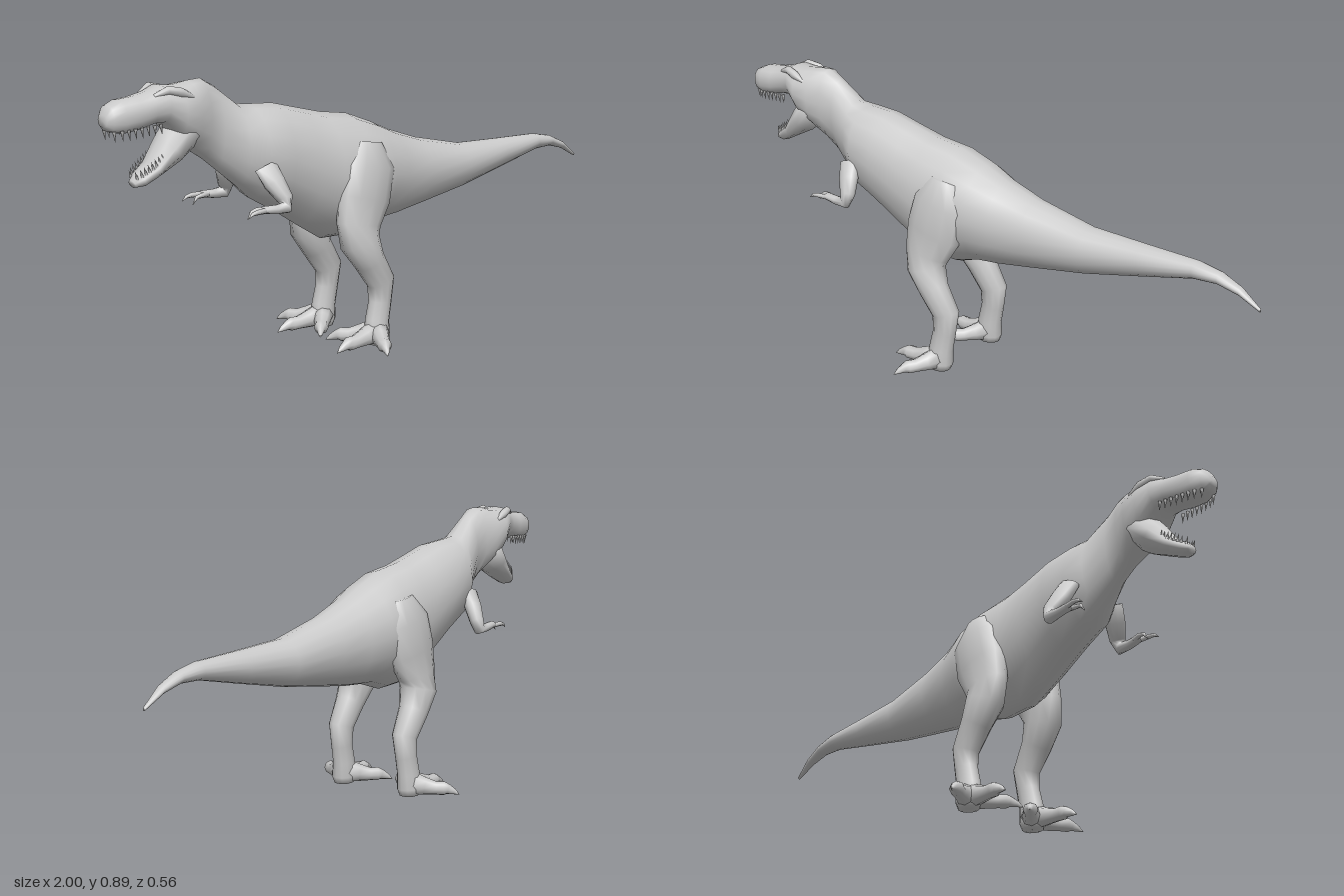
import * as THREE from 'three';

const material = new THREE.MeshStandardMaterial({ color: 0xcccccc });
const Z = new THREE.Vector3(0, 0, 1);
const Y = new THREE.Vector3(0, 1, 0);

// Skin a list of rings (arrays of Vector3, counter-clockwise about the travel direction)
function skin(name, rings) {
  const n = rings[0].length, pos = [], idx = [];
  rings.forEach(r => r.forEach(p => pos.push(p.x, p.y, p.z)));
  for (let i = 0; i < rings.length - 1; i++) {
    for (let j = 0; j < n; j++) {
      const k = (j + 1) % n, a = i * n, b = a + n;
      idx.push(a + j, a + k, b + j, a + k, b + k, b + j);
    }
  }
  // end caps
  [0, rings.length - 1].forEach(e => {
    const c = rings[e].reduce((s, p) => s.add(p), new THREE.Vector3()).divideScalar(n);
    const m = pos.length / 3;
    pos.push(c.x, c.y, c.z);
    for (let j = 0; j < n; j++) {
      const a = e * n + j, b = e * n + (j + 1) % n;
      if (e === 0) idx.push(m, b, a); else idx.push(m, a, b);
    }
  });
  const g = new THREE.BufferGeometry();
  g.setAttribute('position', new THREE.Float32BufferAttribute(pos, 3));
  g.setIndex(idx);
  g.computeVertexNormals();
  const mesh = new THREE.Mesh(g, material);
  mesh.name = name;
  return mesh;
}

// Limb along a path; rows are [x, y, z, radius in plane, radius along ref]
function limb(name, rows, side = 1, ref = Z, sides = 10) {
  const c = rows.map(r => new THREE.Vector3(r[0], r[1], r[2] * side));
  return skin(name, rows.map((r, i) => {
    const t = c[Math.min(i + 1, c.length - 1)].clone().sub(c[Math.max(i - 1, 0)]).normalize();
    const s = ref.clone().addScaledVector(t, -t.dot(ref)).normalize();
    const n = s.clone().cross(t);
    return Array.from({ length: sides }, (_, j) => {
      const a = j / sides * Math.PI * 2;
      return c[i].clone().addScaledVector(n, Math.cos(a) * r[3]).addScaledVector(s, Math.sin(a) * r[4]);
    });
  }));
}

// Head, trunk and tail; rows are [x, top, bottom, half width, upper power, lower power]
function trunk(rows, sides = 16) {
  return skin('body', rows.map(([x, top, bottom, w, pu, pl]) => {
    const mid = bottom + (top - bottom) * 0.52;
    return Array.from({ length: sides }, (_, j) => {
      const a = j / sides * Math.PI * 2, up = Math.cos(a), out = Math.sin(a);
      const p = up > 0 ? pu : pl;
      const y = mid + up * (up > 0 ? top - mid : mid - bottom);
      return new THREE.Vector3(x, y, Math.sign(out) * Math.pow(Math.abs(out), p) * w);
    });
  }));
}

function cone(name, base, tip, r) {
  const a = new THREE.Vector3(...base), d = new THREE.Vector3(...tip).sub(a);
  const mesh = new THREE.Mesh(new THREE.ConeGeometry(r, d.length(), 5), material);
  mesh.quaternion.setFromUnitVectors(Y, d.clone().normalize());
  mesh.position.copy(a).addScaledVector(d, 0.5);
  mesh.name = name;
  return mesh;
}

export function createModel() {
  const model = new THREE.Group();
  model.name = 'dinosaur';

  model.add(trunk([
    [-1.0, 0.825, 0.79, 0.024, 0.7, 0.6],
    [-0.985, 0.85, 0.775, 0.04, 0.7, 0.5],
    [-0.95, 0.864, 0.767, 0.052, 0.7, 0.5],
    [-0.9, 0.868, 0.773, 0.056, 0.7, 0.5],
    [-0.85, 0.878, 0.785, 0.058, 0.7, 0.5],
    [-0.81, 0.893, 0.785, 0.068, 0.7, 0.6],
    [-0.765, 0.889, 0.735, 0.084, 0.8, 0.7],
    [-0.71, 0.897, 0.69, 0.077, 0.8, 0.8],
    [-0.665, 0.9, 0.66, 0.062, 0.9, 0.9],
    [-0.615, 0.872, 0.62, 0.057, 1, 1],
    [-0.54, 0.812, 0.56, 0.085, 1, 1],
    [-0.49, 0.806, 0.515, 0.115, 1, 1],
    [-0.4, 0.8, 0.465, 0.122, 1, 1.1],
    [-0.3, 0.775, 0.4, 0.125, 1, 1.2],
    [-0.21, 0.753, 0.345, 0.132, 1, 1.4],
    [-0.1, 0.737, 0.342, 0.142, 1, 1.4],
    [0.0, 0.7, 0.375, 0.135, 1, 1.1],
    [0.08, 0.665, 0.382, 0.11, 1, 1],
    [0.2, 0.625, 0.4, 0.093, 1, 1],
    [0.4, 0.582, 0.432, 0.072, 1, 1],
    [0.6, 0.575, 0.475, 0.052, 1, 1],
    [0.78, 0.57, 0.515, 0.034, 1, 1],
    [0.86, 0.555, 0.518, 0.025, 1, 1],
    [0.93, 0.525, 0.5, 0.017, 1, 1],
    [0.998, 0.475, 0.464, 0.005, 1, 1],
  ]));

  model.add(limb('lowerJaw', [
    [-0.73, 0.755, 0, 0.055, 0.072],
    [-0.785, 0.7, 0, 0.046, 0.062],
    [-0.84, 0.652, 0, 0.026, 0.05],
    [-0.885, 0.625, 0, 0.022, 0.036],
    [-0.908, 0.615, 0, 0.012, 0.018],
  ]));

  for (const side of [1, -1]) {
    // teeth along both jaws
    for (let i = 0; i < 8; i++) {
      const f = i / 7;
      const ux = -0.98 + f * 0.14, uz = side * (0.026 + 0.026 * Math.sqrt(f));
      const uy = 0.778 + f * 0.01;
      model.add(cone('upperTooth', [ux, uy, uz], [ux + 0.004, uy - 0.032, uz], 0.006));
      const lx = -0.9 + f * 0.075, ly = 0.63 + f * 0.045, lz = side * (0.016 + 0.026 * Math.sqrt(f));
      model.add(cone('lowerTooth', [lx, ly, lz], [lx - 0.008, ly + 0.024, lz], 0.005));
    }

    model.add(limb('browRidge', [
      [-0.85, 0.868, 0.038, 0.006, 0.006],
      [-0.81, 0.882, 0.05, 0.013, 0.014],
      [-0.77, 0.872, 0.06, 0.014, 0.014],
      [-0.73, 0.855, 0.062, 0.006, 0.006],
    ], side));

    model.add(limb('arm', [
      [-0.5, 0.63, 0.095, 0.04, 0.02],
      [-0.485, 0.58, 0.12, 0.036, 0.028],
      [-0.468, 0.535, 0.147, 0.026, 0.024],
      [-0.472, 0.508, 0.155, 0.02, 0.022],
      [-0.51, 0.508, 0.156, 0.014, 0.017],
      [-0.555, 0.513, 0.154, 0.011, 0.017],
    ], side));
    // two clawed fingers
    for (const [z, x, y] of [[0.167, -0.62, 0.497], [0.138, -0.602, 0.487]]) {
      model.add(limb('finger', [
        [-0.54, 0.511, (z + 0.154) / 2, 0.009, 0.009],
        [x + 0.035, 0.512, z, 0.008, 0.008],
        [x + 0.016, 0.509, z, 0.006, 0.006],
        [x, y, z, 0.001, 0.001],
      ], side, Z, 6));
    }

    model.add(limb('leg', [
      [-0.09, 0.655, 0.1, 0.05, 0.025],
      [-0.1, 0.58, 0.11, 0.1, 0.05],
      [-0.125, 0.48, 0.114, 0.105, 0.05],
      [-0.15, 0.4, 0.118, 0.085, 0.045],
      [-0.15, 0.345, 0.125, 0.068, 0.058],
      [-0.115, 0.28, 0.13, 0.052, 0.048],
      [-0.067, 0.205, 0.13, 0.049, 0.039],
      [-0.072, 0.14, 0.132, 0.04, 0.034],
      [-0.085, 0.08, 0.133, 0.042, 0.035],
      [-0.088, 0.03, 0.135, 0.045, 0.04],
      [-0.088, 0.006, 0.135, 0.036, 0.032],
    ], side, Z, 12));

    // splayed toes, each ending in a claw
    for (const [x, z, name] of [[-0.268, 0.15, 'middleToe'], [-0.17, 0.278, 'outerToe'], [-0.2, 0.014, 'innerToe']]) {
      const at = (f, y, rw, rh) => [-0.085 + (x + 0.085) * f, y, 0.135 + (z - 0.135) * f, rw, rh];
      model.add(limb(name, [
        at(0.05, 0.045, 0.036, 0.04),
        at(0.32, 0.036, 0.028, 0.03),
        at(0.55, 0.03, 0.023, 0.022),
        at(0.7, 0.03, 0.024, 0.023),
        at(0.78, 0.028, 0.015, 0.017),
        at(0.9, 0.02, 0.009, 0.01),
        at(1, 0.011, 0.001, 0.001),
      ], side, Y, 8));
    }
    model.add(cone('dewclaw', [-0.1, 0.055, 0.11 * side], [-0.13, 0.015, 0.075 * side], 0.014));
  }
  return model;
}
